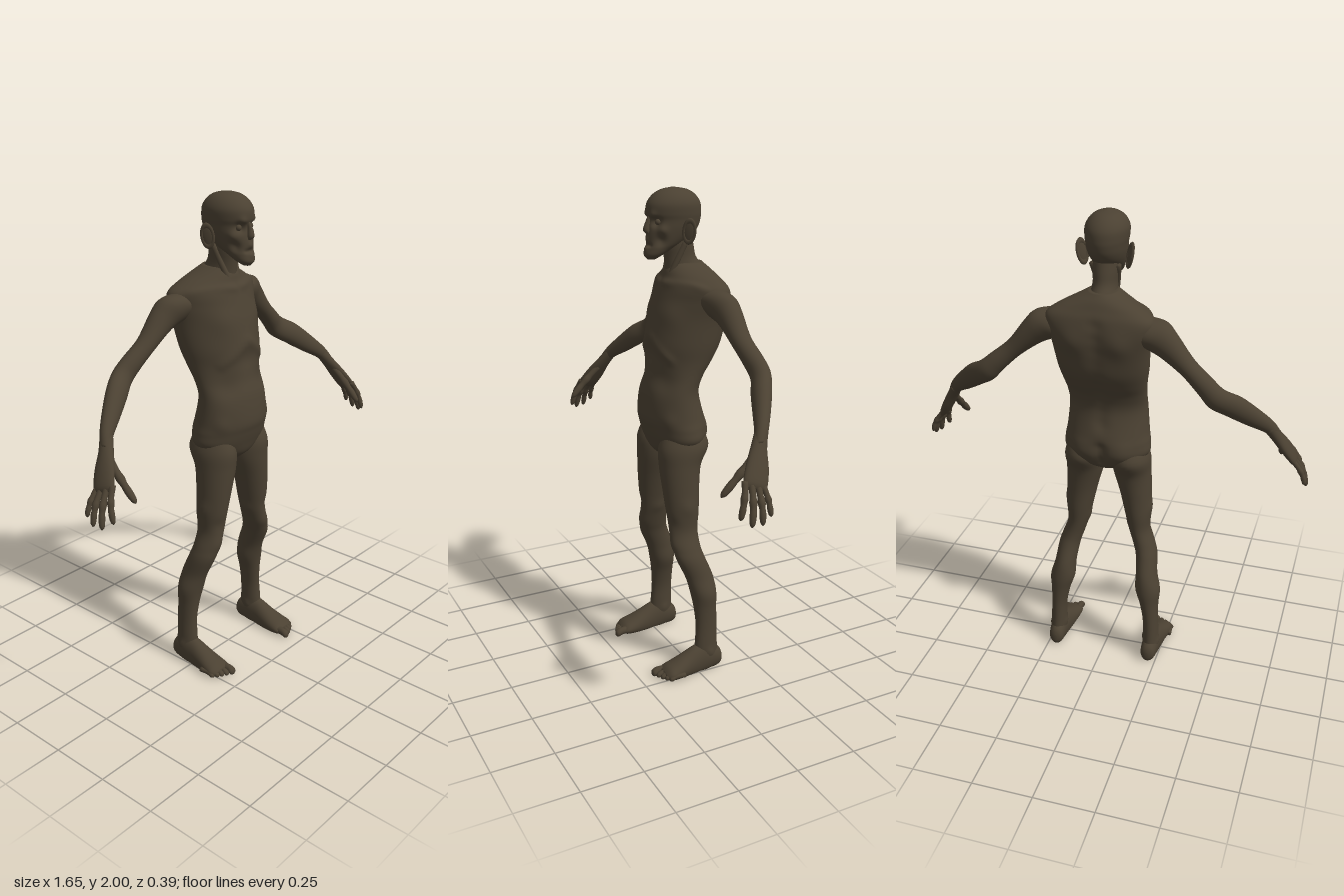
import * as THREE from 'three';

const V = (x, y, z) => new THREE.Vector3(x, y, z);
const skin = new THREE.MeshStandardMaterial({ color: 0x4b4132 });
skin.name = 'darkSkin';

// Smooth interpolation between rows of numbers
function blend(rows, t) {
  const i = Math.min(Math.floor(t), rows.length - 2), f = t - i;
  const at = k => rows[Math.max(0, Math.min(rows.length - 1, k))];
  const [a, b, c, d] = [at(i - 1), at(i), at(i + 1), at(i + 2)];
  return b.map((_, k) => b[k] + 0.5 * f * (c[k] - a[k] +
    f * (2 * a[k] - 5 * b[k] + 4 * c[k] - d[k] + f * (3 * (b[k] - c[k]) + d[k] - a[k]))));
}

// Closed skin over elliptical sections [x, y, z, radiusU, radiusV, arch]
function loft(rows, { dir, u, sides = 20, steps = 4 } = {}) {
  const first = V(...rows[0]), last = V(...rows[rows.length - 1]);
  dir = (dir || last.clone().sub(first)).clone().normalize();
  u = u || dir.clone().cross(V(0, 0, 1)).normalize();
  const v = u.clone().cross(dir), pos = [], idx = [];
  const n = (rows.length - 1) * steps;
  for (let i = 0; i <= n; i++) {
    const [x, y, z, ru, rv, arch = 0] = blend(rows, i / steps);
    for (let j = 0; j < sides; j++) {
      const a = j / sides * Math.PI * 2, c = Math.cos(a), s = Math.sin(a);
      const p = V(x, y, z).addScaledVector(u, c * ru).addScaledVector(v, s * rv - arch * c * c);
      pos.push(p.x, p.y, p.z);
      if (i < n) {
        const k = i * sides, j2 = (j + 1) % sides;
        idx.push(k + j, k + sides + j, k + sides + j2, k + j, k + sides + j2, k + j2);
      }
    }
  }
  const c0 = pos.length / 3;
  pos.push(first.x, first.y, first.z, last.x, last.y, last.z);
  for (let j = 0; j < sides; j++) {
    const j2 = (j + 1) % sides, k = n * sides;
    idx.push(c0, j, j2, c0 + 1, k + j2, k + j);
  }
  const g = new THREE.BufferGeometry();
  g.setAttribute('position', new THREE.Float32BufferAttribute(pos, 3));
  g.setIndex(idx);
  g.computeVertexNormals();
  return g;
}

// Raise or sink the surface softly around points [x, y, z, reach, amount], on both sides
function sculpt(g, bumps) {
  const P = g.attributes.position, N = g.attributes.normal;
  for (let i = 0; i < P.count; i++) {
    const p = V().fromBufferAttribute(P, i), q = V(Math.abs(p.x), p.y, p.z);
    let push = 0;
    for (const [x, y, z, r, amount] of bumps)
      push += amount * Math.exp(-q.distanceToSquared(V(x, y, z)) / (r * r));
    p.addScaledVector(V().fromBufferAttribute(N, i), push);
    P.setXYZ(i, p.x, p.y, p.z);
  }
  g.computeVertexNormals();
  return g;
}

// Row of bumps between two points
const ridge = (a, b, count, r, amount) => Array.from({ length: count }, (_, i) =>
  [...V(...a).lerp(V(...b), i / (count - 1)).toArray(), r, amount]);

function mirror(g) {
  const m = g.clone().scale(-1, 1, 1), ix = m.index.array;
  for (let i = 0; i < ix.length; i += 3) [ix[i], ix[i + 1]] = [ix[i + 1], ix[i]];
  m.computeVertexNormals();
  return m;
}

function flattenSole(g) {
  const P = g.attributes.position;
  for (let i = 0; i < P.count; i++) P.setY(i, Math.max(0, P.getY(i)));
  g.computeVertexNormals();
  return g;
}

export function createModel() {
  const model = new THREE.Group();
  model.name = 'gauntFigure';
  const add = (name, g) => {
    const m = new THREE.Mesh(g, skin);
    m.name = name;
    model.add(m);
  };
  const pair = (name, g) => { add('left' + name, g); add('right' + name, mirror(g)); };
  const up = V(0, 1, 0), down = V(0, -1, 0);
  // Upright section given by height, half width, back z, front z
  const slab = ([y, w, back, front, arch = 0]) => [0, y, (back + front) / 2, w, (front - back) / 2, arch];

  // Torso
  const torso = [
    [0.915, 0.03, -0.03, 0.05], [0.95, 0.11, -0.085, 0.09], [1.0, 0.176, -0.112, 0.11],
    [1.05, 0.18, -0.117, 0.125], [1.1, 0.172, -0.112, 0.135], [1.2, 0.164, -0.09, 0.125],
    [1.27, 0.165, -0.105, 0.107, 0.01], [1.33, 0.172, -0.14, 0.105, 0.02], [1.4, 0.184, -0.172, 0.108, 0.03],
    [1.5, 0.195, -0.185, 0.09, 0.045], [1.57, 0.21, -0.188, 0.07, 0.05], [1.62, 0.212, -0.18, 0.055, 0.045],
    [1.655, 0.165, -0.163, 0.04, 0.035], [1.685, 0.105, -0.147, 0.03, 0.02], [1.71, 0.055, -0.125, 0.015, 0]];
  add('torso', sculpt(loft(torso.map(slab), { dir: up, sides: 72, steps: 6 }), [
    ...ridge([0, 1.43, 0.105], [0.12, 1.34, 0.07], 7, 0.018, 0.006),     // rib arch
    ...ridge([0.02, 1.635, 0.05], [0.19, 1.635, -0.04], 9, 0.016, 0.006), // collarbone
    ...ridge([0, 1.15, -0.1], [0, 1.6, -0.185], 10, 0.028, -0.008),       // spine
    ...ridge([0, 0.96, -0.095], [0, 1.05, -0.115], 4, 0.022, -0.012),     // cleft
    [0, 1.36, 0.105, 0.05, -0.012], [0.09, 1.53, -0.175, 0.05, 0.013],
    [0.08, 1.03, -0.1, 0.05, 0.012], [0.09, 1.51, 0.045, 0.05, 0.007],
    [0.125, 1.1, 0.07, 0.03, 0.008], [0.1, 1.24, 0.08, 0.05, -0.008]]));

  // Neck with two front tendons
  add('neck', loft([[1.6, 0.075, -0.15, 0.03], [1.68, 0.056, -0.135, 0.03], [1.73, 0.047, -0.1, 0.034],
    [1.78, 0.05, -0.088, 0.04], [1.85, 0.05, -0.07, 0.04]].map(slab), { dir: up, sides: 32 }));
  pair('NeckTendon', loft([[0.015, 1.63, 0.035, 0.01, 0.01], [0.034, 1.7, 0.008, 0.012, 0.012],
    [0.052, 1.8, -0.035, 0.012, 0.012]], { sides: 12 }));

  // Head
  const skull = [
    [1.728, 0.014, 0.075, 0.108], [1.745, 0.036, 0.045, 0.121], [1.77, 0.049, 0.0, 0.117],
    [1.79, 0.058, -0.04, 0.111], [1.82, 0.068, -0.085, 0.11], [1.85, 0.075, -0.108, 0.106],
    [1.88, 0.079, -0.117, 0.102], [1.905, 0.083, -0.119, 0.108], [1.94, 0.083, -0.114, 0.105],
    [1.97, 0.068, -0.093, 0.083], [1.99, 0.042, -0.06, 0.05], [2.0, 0.003, -0.006, 0.003]];
  add('head', sculpt(loft(skull.map(slab), { dir: up, sides: 72, steps: 6 }), [
    [0.034, 1.873, 0.09, 0.018, -0.018], [0.032, 1.9, 0.1, 0.015, 0.007],
    [0.058, 1.843, 0.07, 0.018, 0.008], [0.05, 1.803, 0.075, 0.02, -0.01],
    ...ridge([0, 1.786, 0.113], [0.018, 1.783, 0.104], 3, 0.008, -0.007),
    [0, 1.806, 0.112, 0.011, 0.005], [0, 1.768, 0.118, 0.012, 0.004]]));
  add('nose', loft([[0, 1.898, 0.098, 0.006, 0.006], [0, 1.868, 0.107, 0.009, 0.011],
    [0, 1.842, 0.112, 0.014, 0.014], [0, 1.828, 0.108, 0.011, 0.007]], { dir: down, sides: 16 }));
  pair('Eye', new THREE.SphereGeometry(0.012, 16, 12).translate(0.034, 1.873, 0.079));

  // Ears: a rim around a thin dish
  const placeEar = g => g.rotateY(0.95).rotateZ(-0.2).translate(0.094, 1.838, -0.025);
  pair('EarRim', placeEar(new THREE.TorusGeometry(0.022, 0.006, 8, 24).scale(1, 1.9, 1)));
  pair('EarDish', placeEar(new THREE.SphereGeometry(0.022, 16, 10).scale(1, 1.9, 0.25)));

  // Arms
  pair('Arm', loft([
    [0.13, 1.60, -0.09, 0.03, 0.045], [0.17, 1.575, -0.095, 0.062, 0.066], [0.225, 1.56, -0.1, 0.066, 0.062],
    [0.275, 1.525, -0.108, 0.054, 0.05], [0.35, 1.452, -0.113, 0.038, 0.041], [0.42, 1.39, -0.125, 0.041, 0.04],
    [0.468, 1.345, -0.128, 0.046, 0.038], [0.53, 1.305, -0.095, 0.048, 0.04], [0.6, 1.25, -0.055, 0.04, 0.034],
    [0.66, 1.2, -0.018, 0.028, 0.027], [0.69, 1.155, 0.008, 0.022, 0.024]], { sides: 28, steps: 5 }));

  // Hands
  pair('Palm', loft([[0.66, 1.2, -0.018, 0.024, 0.025], [0.69, 1.15, 0.01, 0.023, 0.031],
    [0.725, 1.095, 0.036, 0.022, 0.044], [0.755, 1.045, 0.061, 0.018, 0.047],
    [0.764, 1.028, 0.069, 0.008, 0.036]], { sides: 24 }));
  const digit = (name, base, tip, bow, r) => {
    const rows = [0, 0.3, 0.45, 0.6, 0.75, 0.93, 1].map((t, i) => {
      const p = V(...base).lerp(V(...tip), t), k = [1.05, 0.9, 1.12, 0.88, 0.98, 0.75, 0.1][i] * r;
      const bend = Math.sin(t * Math.PI) * bow;
      return [p.x + bend, p.y + bend * 0.5, p.z, k, k];
    });
    pair(name, loft(rows, { sides: 12, steps: 3 }));
  };
  digit('IndexFinger', [0.746, 1.058, 0.098], [0.785, 0.93, 0.137], 0.01, 0.0125);
  digit('MiddleFinger', [0.752, 1.05, 0.076], [0.812, 0.908, 0.105], 0.01, 0.013);
  digit('RingFinger', [0.757, 1.041, 0.053], [0.82, 0.912, 0.066], 0.01, 0.0125);
  digit('LittleFinger', [0.762, 1.034, 0.032], [0.815, 0.937, 0.03], 0.008, 0.011);
  digit('Thumb', [0.697, 1.13, 0.03], [0.7, 0.993, 0.168], 0.004, 0.015);

  // Legs
  pair('Leg', sculpt(loft([
    [0.1, 1.06, 0, 0.05, 0.07], [0.1, 0.98, 0, 0.08, 0.107], [0.103, 0.9, 0.018, 0.079, 0.089],
    [0.118, 0.8, 0.022, 0.067, 0.078], [0.13, 0.7, 0.02, 0.056, 0.07], [0.138, 0.62, 0.02, 0.045, 0.062],
    [0.16, 0.55, 0.015, 0.046, 0.06], [0.175, 0.5, 0.003, 0.046, 0.062], [0.185, 0.42, -0.03, 0.046, 0.06],
    [0.195, 0.35, -0.045, 0.054, 0.056], [0.204, 0.28, -0.05, 0.041, 0.05], [0.212, 0.2, -0.052, 0.033, 0.047],
    [0.215, 0.12, -0.05, 0.034, 0.05], [0.217, 0.05, -0.05, 0.035, 0.055]], { dir: down, sides: 32, steps: 6 }), [
    [0.15, 0.57, 0.075, 0.03, 0.006], [0.185, 0.73, 0.02, 0.03, 0.006], [0.095, 0.645, 0.02, 0.025, 0.006],
    [0.15, 0.66, 0.08, 0.03, -0.006], [0.18, 0.09, -0.05, 0.016, 0.006], [0.25, 0.08, -0.055, 0.016, 0.006]]));

  // Feet
  const flat = { dir: V(0, 0, 1), u: V(1, 0, 0) };
  pair('Foot', flattenSole(loft([
    [0.215, 0.035, -0.123, 0.008, 0.015], [0.215, 0.04, -0.108, 0.03, 0.042], [0.217, 0.05, -0.05, 0.038, 0.068],
    [0.217, 0.042, 0.0, 0.04, 0.07], [0.217, 0.032, 0.05, 0.046, 0.056], [0.219, 0.024, 0.1, 0.053, 0.04],
    [0.22, 0.02, 0.135, 0.054, 0.028], [0.215, 0.016, 0.155, 0.04, 0.014]], { ...flat, sides: 32 })));
  [[0.187, 0.193, 0.017], [0.213, 0.183, 0.012], [0.233, 0.173, 0.012], [0.251, 0.162, 0.011], [0.267, 0.148, 0.011]]
    .forEach(([x, tip, r], i) => pair('Toe' + (i + 1), flattenSole(loft([
      [x + 0.003, 0.02, tip - 0.07, r, r], [x, 0.02, tip - 0.03, r * 0.9, r], [x, 0.015, tip - 0.012, r, r],
      [x, 0.013, tip - 0.003, r * 0.7, r * 0.7], [x, 0.012, tip, 0.002, 0.002]], { ...flat, sides: 14, steps: 3 }))));

  return model;
}
